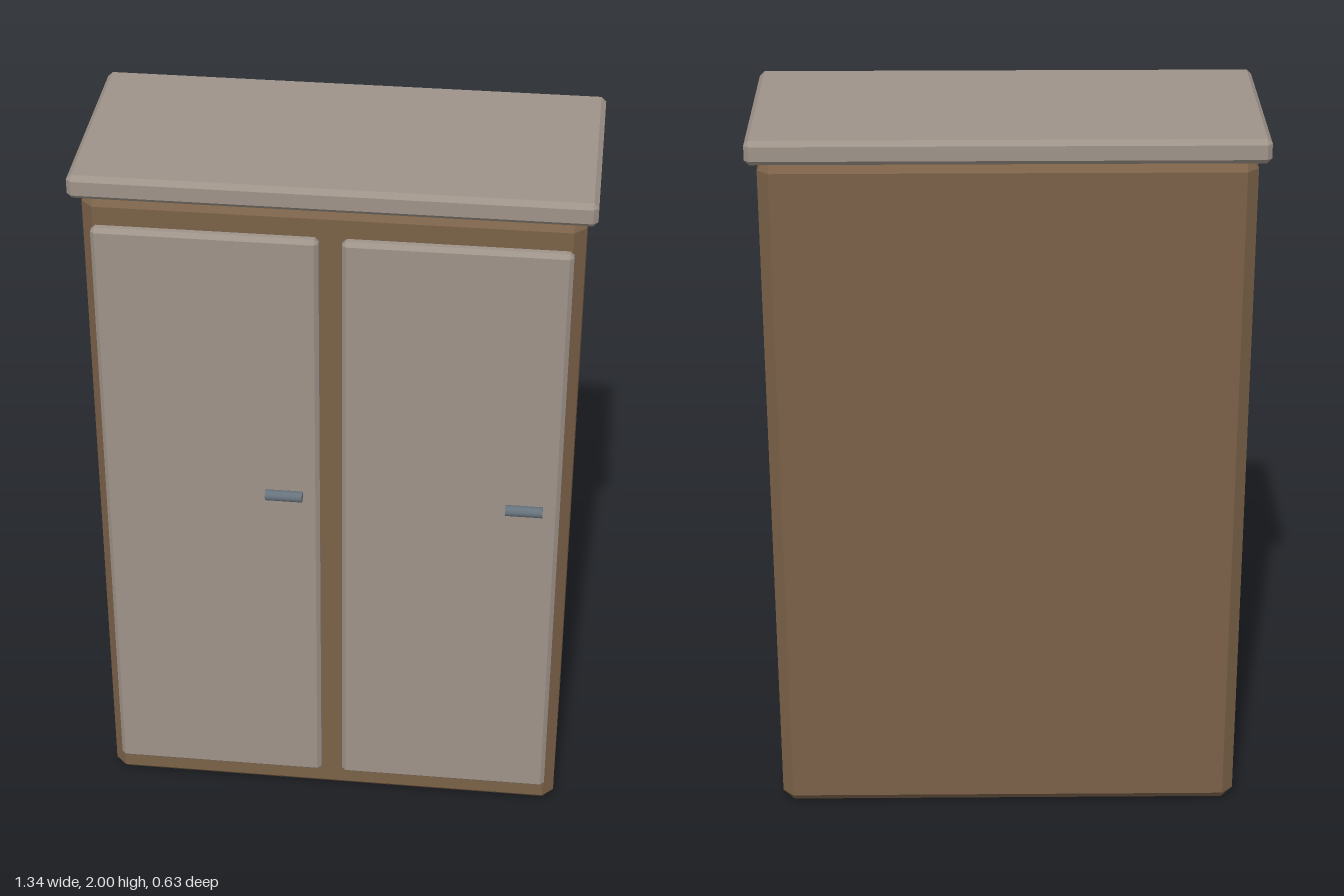
import * as THREE from 'three';
import { ConvexGeometry } from 'three/addons/geometries/ConvexGeometry.js';

const paint = (color) => new THREE.MeshStandardMaterial({ color });

// Box between two corners with every edge cut at 45 degrees by c
function chamferBox(name, min, max, c, material) {
  const half = min.map((v, i) => (max[i] - v) / 2);
  const points = [];
  for (const sx of [-1, 1]) for (const sy of [-1, 1]) for (const sz of [-1, 1]) {
    for (let axis = 0; axis < 3; axis++) {
      const [x, y, z] = half.map((h, i) => (i === axis ? h : h - c));
      points.push(new THREE.Vector3(sx * x, sy * y, sz * z));
    }
  }
  const mesh = new THREE.Mesh(new ConvexGeometry(points), material);
  mesh.name = name;
  mesh.position.set(...min.map((v, i) => (v + max[i]) / 2));
  return mesh;
}

export function createModel() {
  const model = new THREE.Group();
  model.name = 'wardrobe';
  const wood = paint(0x7a6148);
  const panel = paint(0x9e9389);
  const metal = paint(0x66727c);

  // Carcass and overhanging top
  model.add(chamferBox('carcass', [-0.643, 0, -0.286], [0.643, 1.936, 0.265], 0.031, wood));
  model.add(chamferBox('topBoard', [-0.67, 1.935, -0.315], [0.67, 2, 0.29], 0.013, panel));

  // Two doors, both with the handle near their left edge
  const handleGeometry = new THREE.CylinderGeometry(0.015, 0.015, 0.1, 16).rotateZ(Math.PI / 2);
  for (const [side, x] of [['right', -0.323], ['left', 0.323]]) {
    model.add(chamferBox(side + 'Door', [x - 0.293, 0.083, 0.24], [x + 0.293, 1.853, 0.29], 0.011, panel));
    const handle = new THREE.Mesh(handleGeometry, metal);
    handle.name = side + 'Handle';
    handle.position.set(x + 0.198, 1.066, 0.3);
    model.add(handle);
  }
  return model;
}
